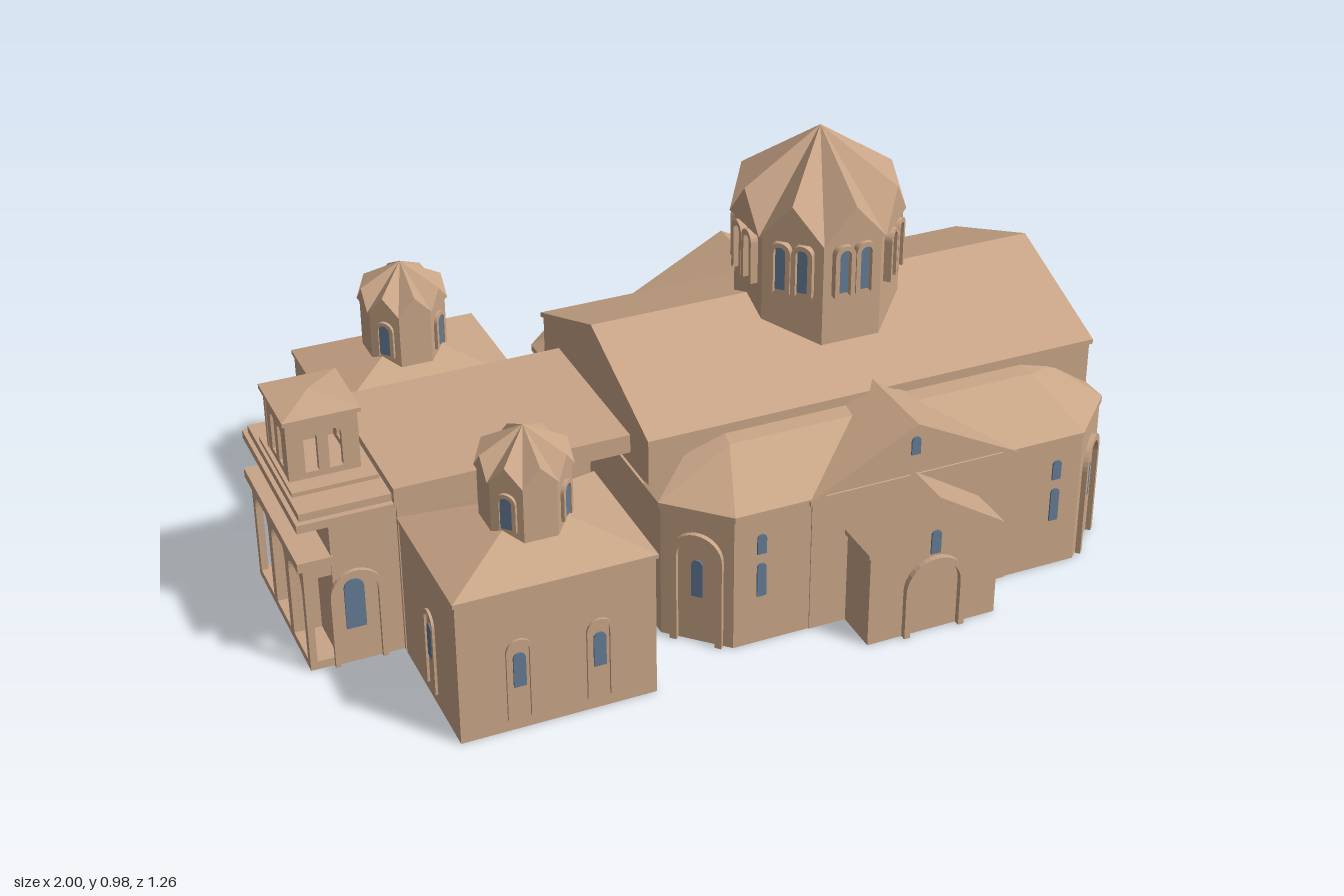
import * as THREE from 'three';
import { ConvexGeometry } from 'three/addons/geometries/ConvexGeometry.js';

const stone = new THREE.MeshStandardMaterial({ color: 0xc9a587, side: THREE.DoubleSide });
stone.name = 'stone';
const glass = new THREE.MeshStandardMaterial({ color: 0x647b94 });
glass.name = 'window blue';
const PI = Math.PI, CZ = 0.01;

export function createModel() {
  const model = new THREE.Group();
  model.name = 'church';

  // adds a flat-shaded part; the building is a shell, so faces lying on the ground are left out
  function add(name, geo, mat = stone, x = 0, y = 0, z = 0, ry = 0) {
    const src = (geo.index ? geo.toNonIndexed() : geo).attributes.position.array, keep = [];
    for (let i = 0; i < src.length; i += 9)
      if (Math.max(src[i + 1], src[i + 4], src[i + 7]) + y > 1e-4) keep.push(...src.slice(i, i + 9));
    const g = new THREE.BufferGeometry();
    g.setAttribute('position', new THREE.Float32BufferAttribute(keep, 3));
    g.computeVertexNormals();
    const m = new THREE.Mesh(g, mat);
    m.name = name;
    m.position.set(x, y, z);
    m.rotation.y = ry;
    model.add(m);
  }
  // box given by its limits
  const box = (name, x0, x1, y0, y1, z0, z1) =>
    add(name, new THREE.BoxGeometry(x1 - x0, y1 - y0, z1 - z0), stone, (x0 + x1) / 2, (y0 + y1) / 2, (z0 + z1) / 2);
  const hull = (name, pts) => add(name, new ConvexGeometry(pts.map(p => new THREE.Vector3(...p))));
  const polygon = pts => new THREE.Shape(pts.map(p => new THREE.Vector2(...p)));
  const extrude = (shape, depth) =>
    new THREE.ExtrudeGeometry(shape, { depth, bevelEnabled: false, curveSegments: 8 });
  // upright prism from a plan of [x, z] points, with an optional hollow
  function prism(name, plan, y0, y1, hollow) {
    const s = polygon(plan.map(([x, z]) => [x, -z]));
    if (hollow) s.holes.push(polygon(hollow.map(([x, z]) => [x, -z])));
    const g = extrude(s, y1 - y0);
    g.rotateX(-PI / 2);
    add(name, g, stone, 0, y0, 0);
  }
  // gabled hall along z (or x if turned): walls plus a slightly projecting roof
  function gabled(name, half, eave, ridge, from, to, pos, turned, over = 0.008) {
    const k = (ridge - eave) / half, e = half + 0.008, t = 0.012;
    const walls = extrude(polygon([[-half, 0], [half, 0], [half, eave - t], [0, ridge - t], [-half, eave - t]]), to - from);
    const roof = extrude(polygon([[-e, ridge - k * e - t], [0, ridge - t], [e, ridge - k * e - t],
      [e, ridge - k * e], [0, ridge], [-e, ridge - k * e]]), to - from + 2 * over);
    walls.translate(0, 0, from);
    roof.translate(0, 0, from - over);
    for (const [g, n] of [[walls, 'Walls'], [roof, 'Roof']])
      add(name + n, g, stone, turned ? 0 : pos, 0, turned ? pos : 0, turned ? PI / 2 : 0);
  }
  // round-headed outline standing on y0
  function archPath(path, w, h, x = 0, y0 = 0) {
    const r = w / 2;
    path.moveTo(x - r, y0);
    path.lineTo(x + r, y0);
    path.lineTo(x + r, y0 + h - r);
    path.absarc(x, y0 + h - r, r, 0, PI, false);
    path.lineTo(x - r, y0);
    return path;
  }
  const pane = (name, w, h, x, y, z, ry) =>
    add(name, extrude(archPath(new THREE.Shape(), w, h), 0.004), glass, x, y, z, ry);
  // raised arch moulding, open at the foot
  function frame(name, w, h, x, y, z, ry, t = 0.01, d = 0.008) {
    const s = new THREE.Shape(), r = w / 2, q = r - t, c = h - r;
    s.moveTo(q, 0);
    s.lineTo(r, 0);
    s.lineTo(r, c);
    s.absarc(0, c, r, 0, PI, false);
    s.lineTo(-r, 0);
    s.lineTo(-q, 0);
    s.lineTo(-q, c);
    s.absarc(0, c, q, PI, 0, true);
    add(name, extrude(s, d), stone, x, y, z, ry);
  }

  // Main hall: chamfered base, cornice, raised nave
  const plan = g => [[-0.236 - g, 0.383], [-0.115, 0.503 + g], [0.755, 0.503 + g], [0.876 + g, 0.383],
    [0.876 + g, -0.383], [0.755, -0.507 - g], [-0.115, -0.507 - g], [-0.236 - g, -0.383]];
  prism('mainWalls', plan(0), 0, 0.335, plan(-0.006));
  prism('mainCornice', plan(0.005), 0.328, 0.343, plan(-0.006));
  gabled('nave', 0.313, 0.467, 0.591, -0.235, 0.877, CZ - 0.005, true, 0.004);
  for (const s of [1, -1]) {
    const ry = s > 0 ? 0 : PI;
    const span = (a, b) => s > 0 ? [a, b] : [-b, -a];
    gabled('transept', 0.25, 0.345, 0.475, ...span(0.3, 0.506), 0.32, false);
    gabled('porch', 0.16, 0.248, 0.35, ...span(0.5, 0.614), 0.32, false);
    // hipped aisle roof with a nearly level strip along the nave
    const roof = [];
    for (const [x, d] of [[-0.241, 1], [0.881, -1]])
      roof.push([x, 0.343, s * 0.383], [x, 0.343, s * 0.3], [x + d * 0.126, 0.343, s * 0.508],
        [x + d * 0.18, 0.433, s * 0.36], [x + d * 0.1, 0.41, s * 0.31], [x + d * 0.19, 0.436, s * 0.31]);
    hull('aisleRoof', roof);
    for (const x of [-0.05, 0.69]) {
      pane('aisleWindow', 0.022, 0.085, x, 0.125, s * 0.505, ry);
      pane('aisleUpperWindow', 0.022, 0.05, x, 0.235, s * 0.505, ry);
    }
    pane('transeptWindow', 0.022, 0.045, 0.32, 0.395, s * 0.506, ry);
    pane('porchWindow', 0.024, 0.06, 0.32, 0.202, s * 0.614, ry);
    frame('porchDoorArch', 0.15, 0.195, 0.32, 0, s * 0.614, ry, 0.014, 0.014);
    // blind arches on the chamfered corners
    for (const [x, e] of [[-0.1755, -1], [0.8155, 1]]) {
      const a = Math.atan2(e, s);
      frame('cornerArch', 0.122, 0.285, x, 0, s * 0.445, a, 0.016, 0.012);
      pane('cornerWindow', 0.026, 0.095, x, 0.12, s * 0.445, a);
    }
  }

  // East gable mouldings and windows
  frame('eastGreatArch', 0.2, 0.15, 0.877, 0.345, CZ, PI / 2, 0.014, 0.01);
  frame('eastInnerArch', 0.13, 0.1, 0.877, 0.36, CZ, PI / 2, 0.01, 0.008);
  pane('eastArchWindow', 0.05, 0.09, 0.877, 0.36, CZ, PI / 2);
  pane('eastGableWindow', 0.026, 0.05, 0.877, 0.512, CZ, PI / 2);
  for (const z of [0.2, -0.2]) frame('eastSideArch', 0.065, 0.105, 0.877, 0.34, CZ + z, PI / 2);
  pane('eastSideWindow', 0.028, 0.075, 0.877, 0.355, CZ - 0.2, PI / 2);

  // Apse with arched bays and faceted roof
  const apse = [[0.87, 0.15], [0.955, 0.108], [0.99, 0], [0.955, -0.108], [0.87, -0.15]];
  prism('apseWalls', apse.map(([x, z]) => [x, z + CZ]), 0, 0.335);
  hull('apseRoof', [...apse.map(([x, z]) => [x + 0.01, 0.335, z * 1.05 + CZ]), [0.87, 0.335, CZ], [0.885, 0.44, CZ]]);
  for (let i = 0; i < 4; i++) {
    const [ax, az] = apse[i], [bx, bz] = apse[i + 1];
    const x = (ax + bx) / 2, z = (az + bz) / 2 + CZ, ry = Math.atan2(az - bz, bx - ax);
    frame('apseArch', 0.07, 0.255, x, 0.03, z, ry, 0.009, 0.008);
    pane('apseWindow', 0.028, 0.105, x, 0.13, z, ry);
  }

  // Octagonal drum under a folded roof with a small gable on every side;
  // windows stand on every step-th side
  function dome(name, cx, cz, a, base, corner, peak, top, panes, step, winY, winH, winW, rim, depth) {
    const R = a / Math.cos(PI / 8), wall = a * 0.94;
    add(name + 'Drum', new THREE.CylinderGeometry(wall / Math.cos(PI / 8), wall / Math.cos(PI / 8),
      corner - base, 8, 1, true, PI / 8), stone, cx, (base + corner) / 2, cz);
    const v = [], at = (r, y, t) => [r * Math.sin(t), y, r * Math.cos(t)];
    for (let i = 0; i < 8; i++) {
      const t = i * PI / 4, l = at(R, corner, t - PI / 8), r = at(R, corner, t + PI / 8), m = at(a, peak, t);
      const apex = [0, top, 0], foot = [0, corner, 0];
      v.push(...apex, ...l, ...m, ...apex, ...m, ...r, ...l, ...r, ...m, ...foot, ...r, ...l);
      if ((i + 1) % step) continue;
      for (const k of panes) {
        const x = cx + wall * Math.sin(t) + k * Math.cos(t), z = cz + wall * Math.cos(t) - k * Math.sin(t);
        pane(name + 'Window', winW, winH, x, winY, z, t);
        frame(name + 'WindowArch', winW + 2 * rim, winH + rim, x, winY - 0.003, z, t, rim, depth);
      }
    }
    const g = new THREE.BufferGeometry();
    g.setAttribute('position', new THREE.Float32BufferAttribute(v, 3));
    add(name + 'Roof', g, stone, cx, 0, cz);
  }
  dome('mainDome', 0.32, CZ, 0.186, 0.45, 0.77, 0.858, 0.98, [-0.026, 0.026], 1, 0.645, 0.115, 0.028, 0.011, 0.018);

  // West range: two domed chapels joined by a flat-roofed middle
  box('westMiddle', -0.775, -0.33, 0, 0.38, -0.212, 0.216);
  box('westFlatRoof', -0.78, -0.235, 0.375, 0.42, -0.212, 0.216);
  for (const s of [1, -1]) {
    const zi = s * 0.22 + 0.004, zo = s * 0.573 + 0.004, zc = s * 0.4 + 0.006, ry = s > 0 ? 0 : PI;
    box('chapelWalls', -0.775, -0.33, 0, 0.35, Math.min(zi, zo), Math.max(zi, zo));
    const eave = [[-0.78, zi], [-0.78, zo + s * 0.004], [-0.325, zi], [-0.325, zo + s * 0.004]];
    hull('chapelRoof', [...eave.map(([x, z]) => [x, 0.344, z]), ...eave.map(([x, z]) => [x, 0.354, z]), [-0.552, 0.455, zc]]);
    dome('chapelDome', -0.552, zc, 0.097, 0.38, 0.535, 0.578, 0.63, [0], 2, 0.43, 0.08, 0.028, 0.009, 0.008);
    for (const x of [-0.64, -0.46]) {
      pane('chapelWindow', 0.028, 0.085, x, 0.11, zo, ry);
      frame('chapelWindowArch', 0.06, 0.2, x, 0.03, zo, ry, 0.008, 0.006);
    }
    pane('chapelWestWindow', 0.026, 0.085, -0.775, 0.11, zc, -PI / 2);
    frame('chapelWestArch', 0.06, 0.2, -0.775, 0.03, zc, -PI / 2, 0.008, 0.006);
    // arched side of the entrance block
    frame('entranceSideArch', 0.12, 0.24, -0.875, 0, s * 0.208, ry, 0.012, 0.01);
    pane('entranceSideWindow', 0.045, 0.125, -0.88, 0.09, s * 0.208, ry);
    // porch partitions and side beams
    box('arcadePartition', -0.972, -0.925, 0, 0.262, s * 0.067 - 0.014, s * 0.067 + 0.014);
    box('arcadeSideBeam', -0.985, -0.92, 0.235, 0.265, s * 0.198 - 0.007, s * 0.198 + 0.007);
  }

  // Entrance block, open arcade and roof slabs
  box('entranceBlock', -0.925, -0.775, 0, 0.365, -0.208, 0.208);
  box('entranceSlab', -0.995, -0.775, 0.362, 0.382, -0.214, 0.214);
  box('entranceUpperSlab', -0.985, -0.78, 0.382, 0.4, -0.2, 0.2);
  box('arcadeFloor', -0.985, -0.925, 0, 0.02, -0.205, 0.205);
  box('arcadeRoof', -1, -0.92, 0.262, 0.285, -0.212, 0.212);
  const arcade = polygon([[-0.205, 0], [0.205, 0], [0.205, 0.265], [-0.205, 0.265]]);
  for (const x of [-0.133, 0, 0.133]) arcade.holes.push(archPath(new THREE.Path(), 0.105, 0.225, x, 0.02));
  add('arcadeFront', extrude(arcade, 0.016), stone, -0.972, 0, 0, -PI / 2);

  // Bell tower with paired openings on each side
  box('bellBase', -0.978, -0.785, 0.395, 0.41, -0.125, 0.13);
  function bellWall(w) {
    const s = polygon([[-w / 2, 0.4], [w / 2, 0.4], [w / 2, 0.56], [-w / 2, 0.56]]);
    for (const x of [-0.027, 0.027]) s.holes.push(archPath(new THREE.Path(), 0.03, 0.095, x, 0.425));
    return extrude(s, 0.014);
  }
  for (const s of [1, -1]) {
    add('bellWall', bellWall(0.16), stone, -0.89, 0, s * 0.071, s > 0 ? 0 : PI);
    add('bellSideWall', bellWall(0.16), stone, -0.89 + s * 0.065, 0, 0, s * PI / 2);
  }
  box('bellCornice', -0.977, -0.803, 0.551, 0.561, -0.093, 0.093);
  hull('bellRoof', [[-0.977, 0.561, -0.093], [-0.803, 0.561, -0.093], [-0.977, 0.561, 0.093],
    [-0.803, 0.561, 0.093], [-0.89, 0.581, 0]]);

  return model;
}
